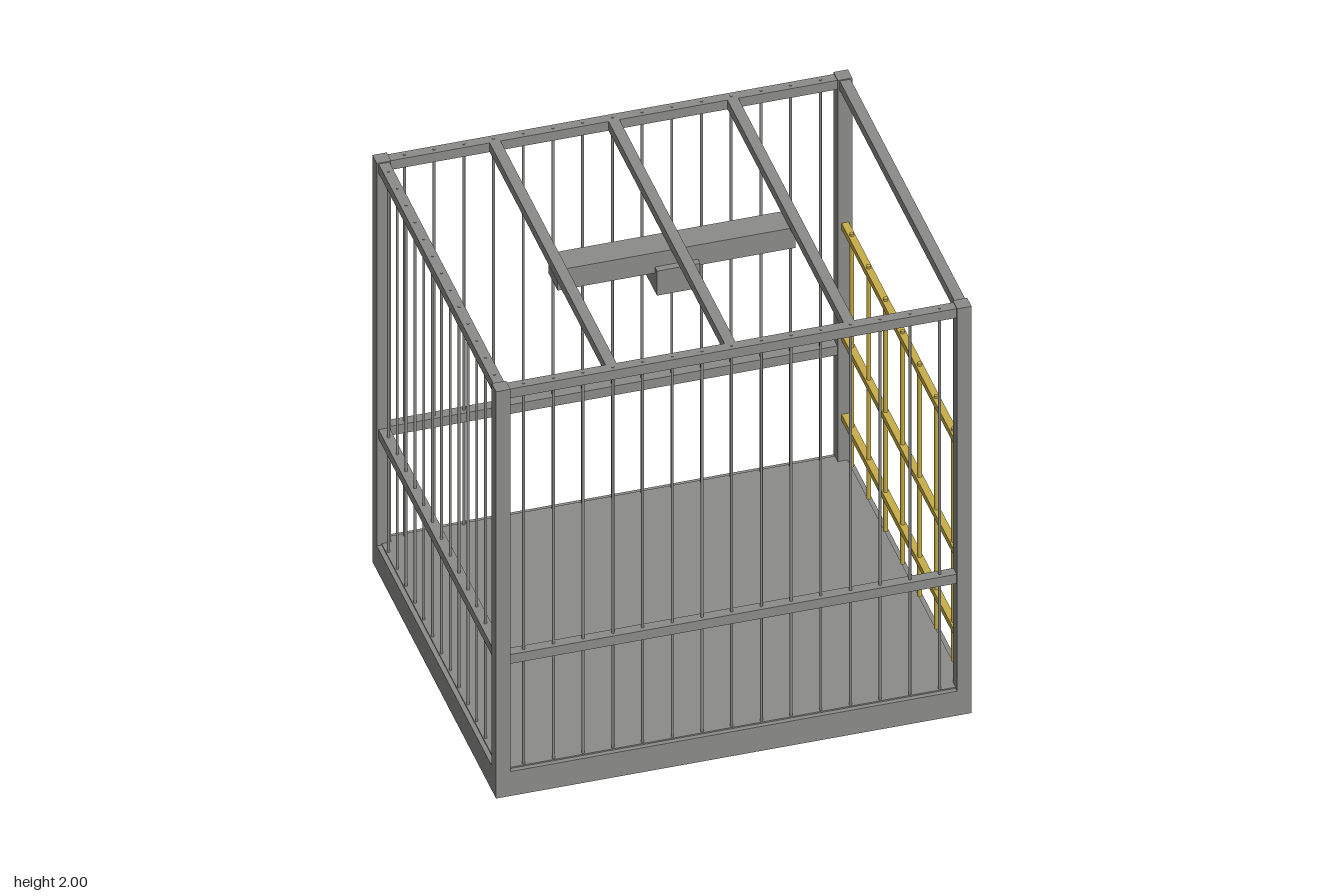
import * as THREE from 'three';

export function createModel() {
  const model = new THREE.Group();
  model.name = 'liftCage';
  const steel = new THREE.MeshStandardMaterial({ color: 0x8c8c8a });
  steel.name = 'grey steel';
  const brass = new THREE.MeshStandardMaterial({ color: 0xc8ae48 });
  brass.name = 'brass';

  const add = (parent, name, geometry, material, x, y, z) => {
    const mesh = new THREE.Mesh(geometry, material);
    mesh.name = name;
    mesh.position.set(x, y, z);
    parent.add(mesh);
    return mesh;
  };
  const box = (parent, name, w, h, d, x, y, z, material = steel) =>
    add(parent, name, new THREE.BoxGeometry(w, h, d), material, x, y, z);
  const group = (name) => {
    const g = new THREE.Group();
    g.name = name;
    model.add(g);
    return g;
  };

  const PX = 0.96, PZ = 0.81; // post centre lines
  const RAIL = 0.045, MID_Y = 0.667, TOP_Y = 1.973;

  // Floor slab with a thin deck on top
  const floor = group('floor');
  box(floor, 'floorSlab', 1.98, 0.12, 1.68, 0, 0.06, 0);
  box(floor, 'floorDeck', 1.94, 0.006, 1.64, 0, 0.123, 0);

  // Corner posts
  const frame = group('frame');
  for (const sx of [-1, 1])
    for (const sz of [-1, 1])
      box(frame, 'cornerPost', 0.06, 2, 0.06, sx * PX, 1, sz * PZ);

  // Top rails all round, middle rails on the three barred sides
  for (const s of [-1, 1]) {
    box(frame, 'topRailLong', 2 * PX, RAIL, RAIL, 0, TOP_Y, s * PZ);
    box(frame, 'topRailShort', RAIL, RAIL, 2 * PZ, s * PX, TOP_Y, 0);
    box(frame, 'middleRailLong', 2 * PX, RAIL, RAIL, 0, MID_Y, s * PZ);
  }
  box(frame, 'middleRailShort', RAIL, RAIL, 2 * PZ, -PX, MID_Y, 0);

  // Roof beams running front to back
  for (const x of [-0.495, 0, 0.495])
    box(frame, 'roofBeam', RAIL, RAIL, 2 * PZ, x, TOP_Y, 0);

  // Thin upright bars on front, back and right side
  const bars = group('cageBars');
  const barGeometry = new THREE.CylinderGeometry(0.006, 0.006, 1.88, 8);
  for (let i = -7; i <= 7; i++)
    for (const s of [-1, 1])
      add(bars, 'longSideBar', barGeometry, steel, i * 0.1237, 1.058, s * PZ);
  for (let i = -6; i <= 6; i++)
    add(bars, 'shortSideBar', barGeometry, steel, -PX, 1.058, i * 0.12);

  // Brass gate across the open side
  const gate = group('gate');
  for (const y of [0.34, 0.733, 1.28])
    box(gate, 'gateRail', 0.03, 0.03, 1.57, PX, y, 0, brass);
  const gateBar = new THREE.CylinderGeometry(0.01, 0.01, 1.145, 8);
  for (let i = -3; i <= 3; i++)
    add(gate, 'gateBar', gateBar, brass, PX, 0.733, i * 0.23);

  // Hoist beam and block under the roof
  const hoist = group('hoist');
  box(hoist, 'hoistBeam', 0.99, 0.1, 0.12, 0, 1.902, 0);
  box(hoist, 'hoistBlock', 0.18, 0.12, 0.18, 0, 1.822, 0);

  return model;
}
